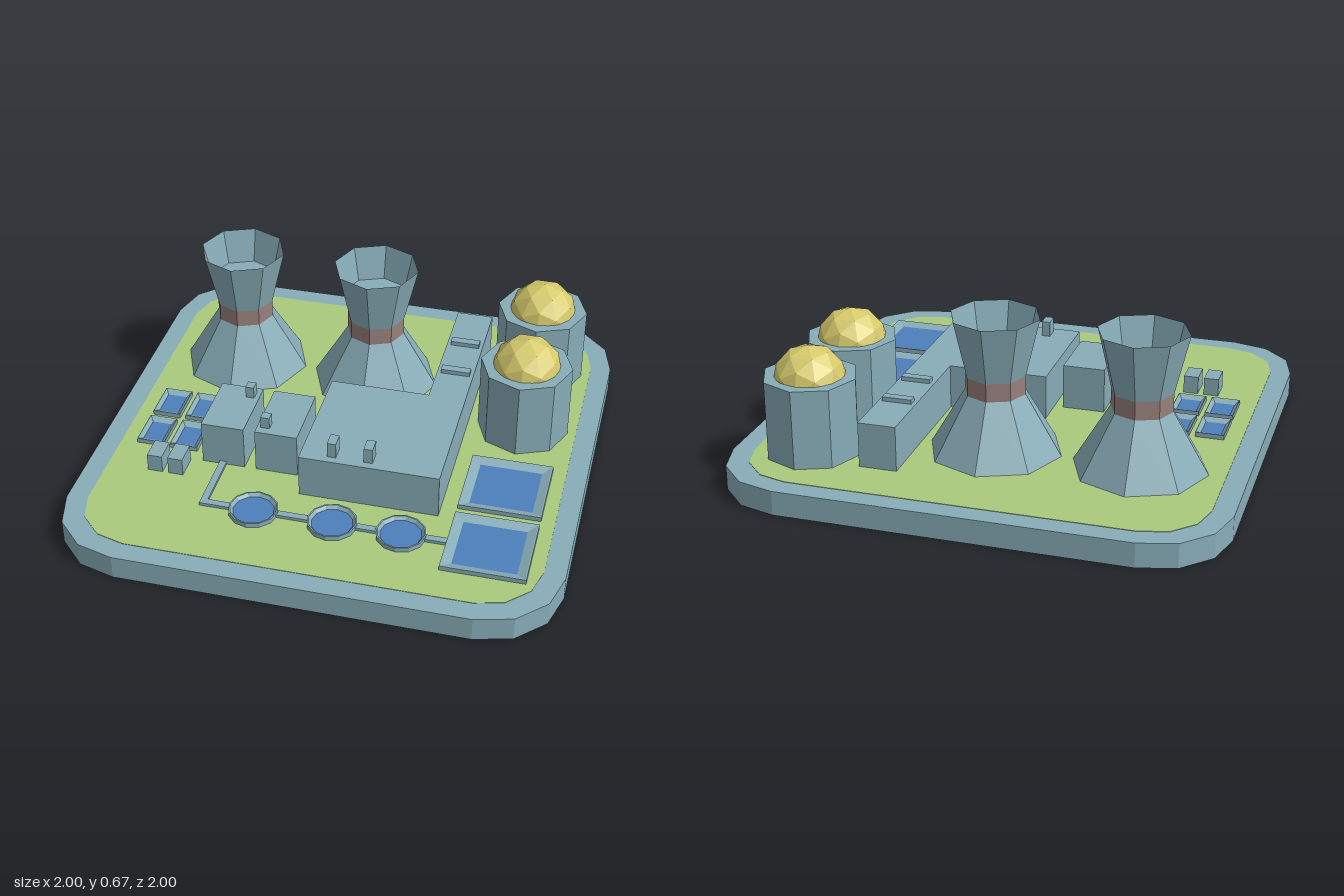
import * as THREE from 'three';

const mat = (name, color) => {
  const m = new THREE.MeshStandardMaterial({ color });
  m.name = name;
  return m;
};

export function createModel() {
  const root = new THREE.Group();
  root.name = 'powerPlant';
  const concrete = mat('blueGreyConcrete', 0x88adb8);
  const grass = mat('grassGreen', 0xaaca7c);
  const water = mat('waterBlue', 0x4d80bd);
  const dome = mat('domeYellow', 0xd6ca6c);
  const band = mat('bandBrown', 0x97807b);
  const GROUND = 0.1;

  const add = (name, geometry, material, parent = root) => {
    const flat = geometry.index ? geometry.toNonIndexed() : geometry;
    flat.computeVertexNormals();
    const mesh = new THREE.Mesh(flat, material);
    mesh.name = name;
    parent.add(mesh);
    return mesh;
  };
  const group = (name, x, y, z) => {
    const g = new THREE.Group();
    g.name = name;
    g.position.set(x, y, z);
    root.add(g);
    return g;
  };
  // Faceted solid of revolution from [radius, height] pairs
  const turned = (points, sides) =>
    new THREE.LatheGeometry(points.map(([r, y]) => new THREE.Vector2(r, y)), sides);
  // Box given by its limits
  const block = (name, x0, x1, y0, y1, z0, z1) =>
    add(name, new THREE.BoxGeometry(x1 - x0, y1 - y0, z1 - z0), concrete)
      .position.set((x0 + x1) / 2, (y0 + y1) / 2, (z0 + z1) / 2);
  // Rounded square slab, three facets per corner
  const slab = (name, half, radius, y, depth, material) => {
    const pts = [];
    const c = half - radius;
    [[1, 1], [-1, 1], [-1, -1], [1, -1]].forEach(([sx, sy], q) => {
      for (let i = 0; i <= 3; i++) {
        const a = (q + i / 3) * Math.PI / 2;
        pts.push(new THREE.Vector2(sx * c + radius * Math.cos(a), sy * c + radius * Math.sin(a)));
      }
    });
    const g = new THREE.ExtrudeGeometry(new THREE.Shape(pts), { depth, bevelEnabled: false });
    g.rotateX(-Math.PI / 2);
    add(name, g, material).position.y = y;
  };

  // Ground
  slab('basePlate', 1, 0.3, 0, GROUND, concrete);
  slab('lawn', 0.915, 0.23, GROUND - 0.001, 0.003, grass);

  // Cooling towers with a coloured neck and hollow top
  for (const x of [-0.58, 0.005]) {
    const g = group('coolingTower', x, 0, -0.4);
    add('towerSkirt', turned([[0.27, GROUND], [0.123, 0.35]], 8), concrete, g);
    add('towerNeck', turned([[0.123, 0.35], [0.123, 0.425]], 8), band, g);
    add('towerMouth', turned([[0.123, 0.425], [0.18, 0.665], [0.145, 0.52], [0, 0.52]], 8), concrete, g);
  }

  // Domed silos
  for (const z of [-0.62, -0.19]) {
    const g = group('silo', 0.69, 0, z);
    add('siloWall', turned([[0.19, GROUND], [0.19, 0.427], [0, 0.427]], 8), concrete, g);
    add('siloDome', new THREE.IcosahedronGeometry(0.147, 1), dome, g).position.y = 0.4;
  }

  // Main hall and its rear wing
  block('mainHall', -0.105, 0.462, GROUND, 0.287, -0.07, 0.462);
  block('rearWing', 0.308, 0.462, GROUND, 0.287, -0.71, -0.07);
  for (const z of [-0.47, -0.255]) block('wingVent', 0.325, 0.447, 0.287, 0.305, z - 0.018, z + 0.018);
  for (const x of [0.022, 0.17]) block('hallChimney', x - 0.018, x + 0.018, 0.287, 0.352, 0.368, 0.43);

  // Side buildings
  block('sideBuilding', -0.543, -0.365, GROUND, 0.29, 0.06, 0.35);
  block('sideBuilding', -0.318, -0.142, GROUND, 0.29, 0.06, 0.35);
  block('sideChimney', -0.42, -0.385, 0.29, 0.34, 0.09, 0.13);
  block('sideChimney', -0.302, -0.265, 0.29, 0.34, 0.277, 0.315);
  for (const x of [-0.711, -0.624]) block('shed', x - 0.031, x + 0.031, GROUND, 0.177, 0.36, 0.46);

  // Square basins with sloping inner sides
  const basin = (x, z, w, d, inner) => {
    const g = group('squareBasin', x, GROUND, z);
    const k = Math.SQRT1_2;
    const part = (name, pts, m) => {
      const geo = turned(pts.map(([r, y]) => [r * k, y]), 4);
      geo.rotateY(Math.PI / 4);
      geo.scale(w, 1, d);
      add(name, geo, m, g);
    };
    part('basinRim', [[1, 0], [1, 0.022], [0.97, 0.022], [inner, 0.008]], concrete);
    part('basinWater', [[inner, 0.008], [0, 0.008]], water);
  };
  for (const z of [0.235, 0.605]) basin(0.693, z, 0.333, 0.328, 0.76);
  for (const x of [-0.787, -0.645]) {
    for (const z of [0.015, 0.215]) basin(x, z, 0.118, 0.168, 0.7);
  }

  // Round tanks
  for (const x of [-0.25, 0.07, 0.345]) {
    const g = group('roundTank', x, GROUND, 0.61);
    add('tankRim', turned([[0.1, 0], [0.1, 0.022], [0.094, 0.022], [0.083, 0.008]], 12), concrete, g);
    add('tankWater', turned([[0.083, 0.008], [0, 0.008]], 12), water, g);
  }

  // Pipe linking side building, tanks and basin
  block('pipe', -0.47, -0.442, GROUND, 0.115, 0.35, 0.625);
  for (const [x0, x1] of [[-0.442, -0.345], [-0.155, -0.025], [0.165, 0.25], [0.44, 0.53]]) {
    block('pipe', x0, x1, GROUND, 0.115, 0.596, 0.625);
  }
  return root;
}
